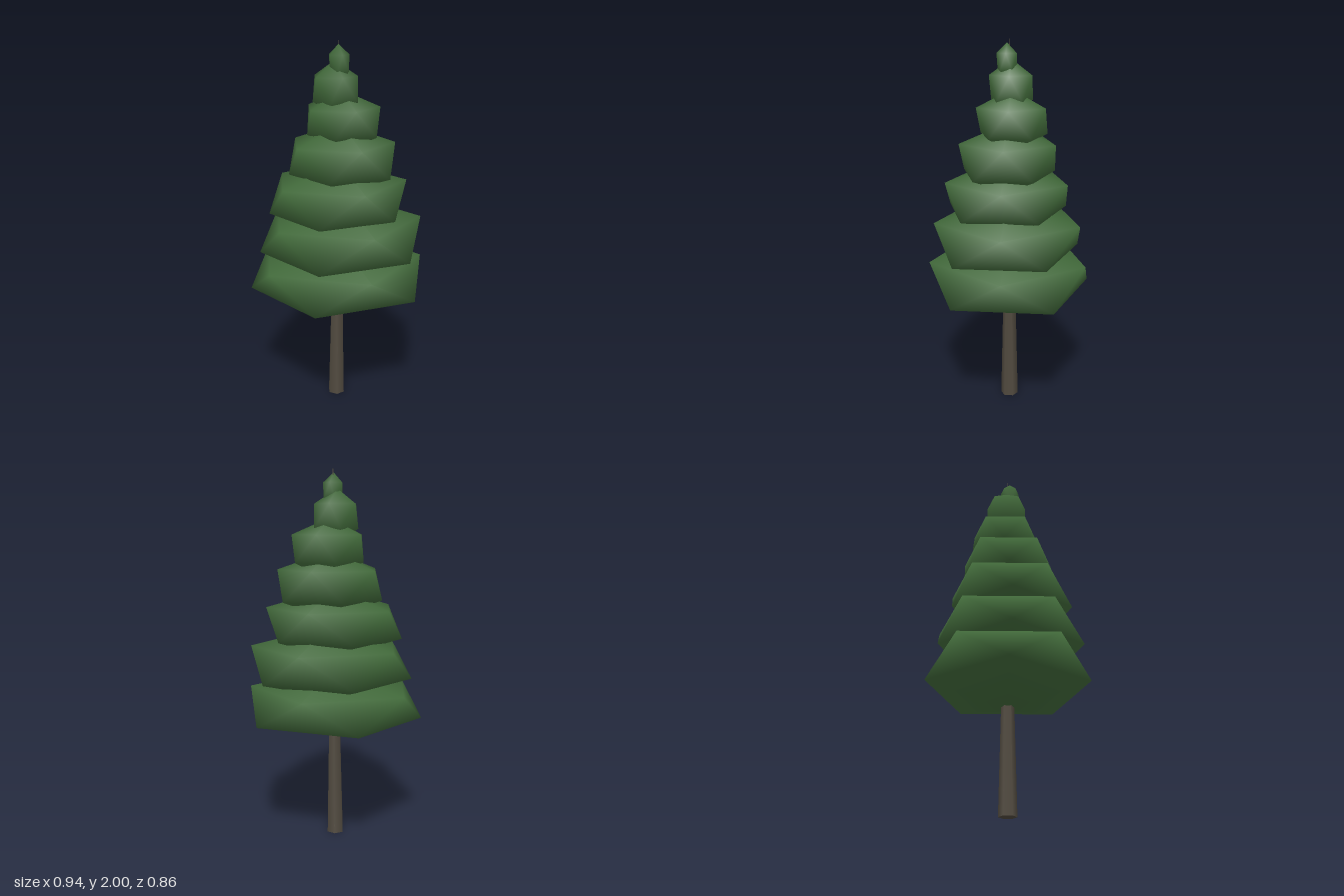
import * as THREE from 'three';

// Each tier: two staggered five-sided rings, [y, centre x, centre z, radius x, radius z]
const TIERS = [
  { low: [0.665, 0.011, 0, 0.481, 0.45], high: [0.835, 0.008, 0, 0.462, 0.44] },
  { low: [0.88, 0.019, 0.017, 0.434, 0.407], high: [1.06, 0.037, 0, 0.428, 0.405] },
  { low: [1.10, 0, 0.022, 0.359, 0.34], high: [1.27, 0.012, 0.007, 0.368, 0.339] },
  { low: [1.31, 0.037, 0.007, 0.287, 0.26], high: [1.475, 0.025, 0.002, 0.29, 0.265] },
  { low: [1.515, 0.046, -0.022, 0.196, 0.187], high: [1.66, 0.03, -0.015, 0.205, 0.189] },
  { low: [1.69, 0.007, -0.01, 0.127, 0.116], high: [1.82, -0.007, -0.008, 0.122, 0.118] },
  { low: [1.845, 0.02, 0.012, 0.052, 0.052], high: [1.93, 0.012, 0.012, 0.057, 0.055] },
];

// Flattened twenty-sided blob: bottom tip, lower ring, upper ring, top tip
function tierGeometry({ low, high }) {
  const pos = [], index = [];
  const tip = (high[0] - low[0]) * 0.618;
  const ring = ([y, cx, cz, rx, rz], turn) => {
    for (let i = 0; i < 5; i++) {
      const a = ((i + turn) / 5) * Math.PI * 2;
      pos.push(cx + rx * Math.cos(a), y, cz + rz * Math.sin(a));
    }
  };
  ring(low, 0.5);
  ring(high, 0);
  pos.push(low[1], low[0] - tip, low[2], high[1], high[0] + tip, high[2]);
  for (let i = 0; i < 5; i++) {
    const j = (i + 1) % 5, u = 5 + i, v = 5 + j;
    index.push(10, i, j, 11, v, u, u, v, i, i, v, j);
  }
  const g = new THREE.BufferGeometry();
  g.setAttribute('position', new THREE.Float32BufferAttribute(pos, 3));
  g.setIndex(index);
  g.computeVertexNormals();
  return g;
}

export function createModel() {
  const needles = new THREE.MeshStandardMaterial({ color: 0x41693a });
  needles.name = 'needleGreen';
  const bark = new THREE.MeshStandardMaterial({ color: 0x514a3f });
  bark.name = 'barkBrown';

  const tree = new THREE.Group();
  tree.name = 'coniferTree';

  // Slender trunk, running through every tier to a fine tip
  const trunkGeo = new THREE.CylinderGeometry(0.002, 0.048, 2, 6);
  trunkGeo.translate(0, 1, 0);
  const p = trunkGeo.attributes.position;
  for (let i = 0; i < p.count; i++) p.setX(i, p.getX(i) + 0.003 + 0.006 * p.getY(i));
  const trunk = new THREE.Mesh(trunkGeo, bark);
  trunk.name = 'trunk';
  tree.add(trunk);

  // Stacked foliage
  const foliage = new THREE.Group();
  foliage.name = 'foliage';
  TIERS.forEach((t, i) => {
    const mesh = new THREE.Mesh(tierGeometry(t), needles);
    mesh.name = `foliageTier${i + 1}`;
    foliage.add(mesh);
  });
  tree.add(foliage);
  return tree;
}
